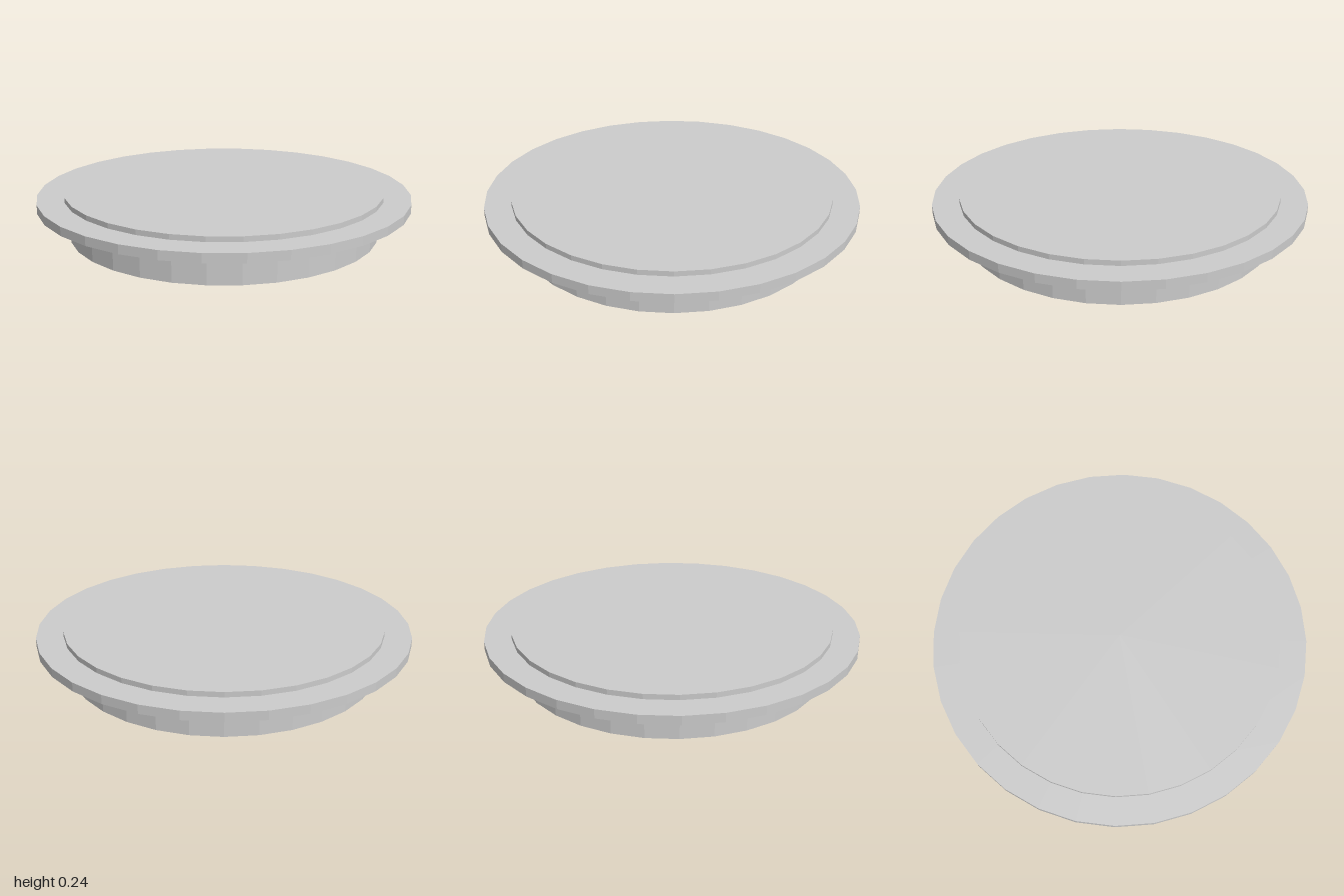
import * as THREE from 'three';

const SIDES = 32;
const material = new THREE.MeshStandardMaterial({ color: 0xcccccc, flatShading: true });

// Turned section, profile given as [radius, height] from the bottom up
function turned(name, profile) {
  const points = profile.map(([r, y]) => new THREE.Vector2(r, y));
  const mesh = new THREE.Mesh(new THREE.LatheGeometry(points, SIDES), material);
  mesh.name = name;
  return mesh;
}

export function createModel() {
  const group = new THREE.Group();
  group.name = 'flangedDisc';

  const body = 0.835, step = 0.873, flange = 1, cap = 0.858;
  const y1 = 0.139, y2 = 0.17, y3 = 0.217, y4 = 0.244;

  group.add(
    // Plug with closed underside
    turned('lowerBody', [[0, 0], [body, 0], [body, y1]]),
    // Narrow shoulder under the flange
    turned('shoulderRing', [[body, y1], [step, y1], [step, y2]]),
    // Wide thin rim
    turned('flange', [[step, y2], [flange, y2], [flange, y3], [cap, y3]]),
    // Raised flat top
    turned('topDisc', [[cap, y3], [cap, y4], [0, y4]]),
  );
  return group;
}
